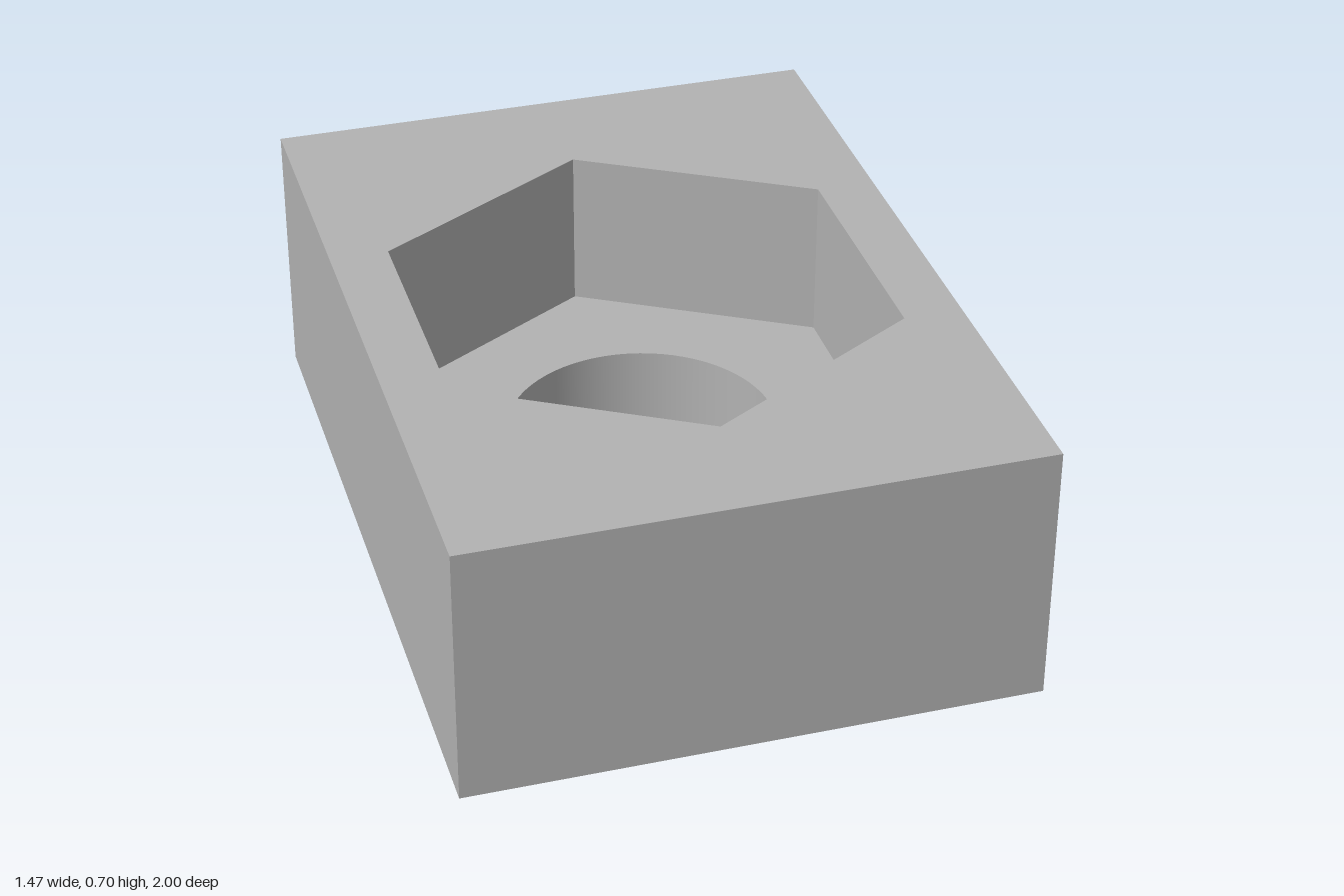
import * as THREE from 'three';

const WIDTH = 1.465, HEIGHT = 0.7, DEPTH = 2;
const HEX_RADIUS = 0.67, BORE_RADIUS = 0.352, LEDGE_Y = 0.27;
const BORE_SEGMENTS = 72;

// Regular polygon outline with one corner on the z axis
function polygon(radius, sides) {
  return Array.from({ length: sides }, (_, i) => {
    const a = (i / sides) * Math.PI * 2;
    return new THREE.Vector2(radius * Math.sin(a), radius * Math.cos(a));
  });
}

// Horizontal face with one opening, facing up (1) or down (-1)
function plate(outline, opening, y, facing) {
  const shape = new THREE.Shape(outline);
  shape.holes.push(new THREE.Path(opening));
  return new THREE.ShapeGeometry(shape).rotateX(-facing * Math.PI / 2).translate(0, y, 0);
}

// Vertical wall of an opening; profile runs downward so it faces the axis
function innerWall(radius, bottom, top, sides) {
  return new THREE.LatheGeometry(
    [new THREE.Vector2(radius, top), new THREE.Vector2(radius, bottom)], sides);
}

export function createModel() {
  const group = new THREE.Group();
  group.name = 'nutHolderBlock';
  const grey = new THREE.MeshStandardMaterial({ color: 0xb2b2b2 });
  grey.name = 'plain grey';

  const add = (name, geometry) => {
    const mesh = new THREE.Mesh(geometry, grey);
    mesh.name = name;
    group.add(mesh);
  };

  const w = WIDTH / 2, d = DEPTH / 2;
  const rectangle = [[-w, -d], [w, -d], [w, d], [-w, d]].map(p => new THREE.Vector2(...p));
  const hexagon = polygon(HEX_RADIUS, 6);
  const circle = polygon(BORE_RADIUS, BORE_SEGMENTS);

  // Four outer sides
  ['frontSide', 'leftSide', 'backSide', 'rightSide'].forEach((name, i) => {
    const [length, offset] = i % 2 ? [DEPTH, w] : [WIDTH, d];
    add(name, new THREE.PlaneGeometry(length, HEIGHT)
      .translate(0, HEIGHT / 2, offset).rotateY(i * Math.PI / 2));
  });

  // Horizontal faces
  add('topFace', plate(rectangle, hexagon, HEIGHT, 1));
  add('pocketFloor', plate(hexagon, circle, LEDGE_Y, 1));
  add('bottomFace', plate(rectangle, circle, 0, -1));

  // Hexagonal pocket with crisp corners, and smooth round bore below it
  const pocket = innerWall(HEX_RADIUS, LEDGE_Y, HEIGHT, 6).toNonIndexed();
  pocket.computeVertexNormals();
  add('hexPocketWall', pocket);
  add('boreWall', innerWall(BORE_RADIUS, 0, LEDGE_Y, BORE_SEGMENTS));

  return group;
}
